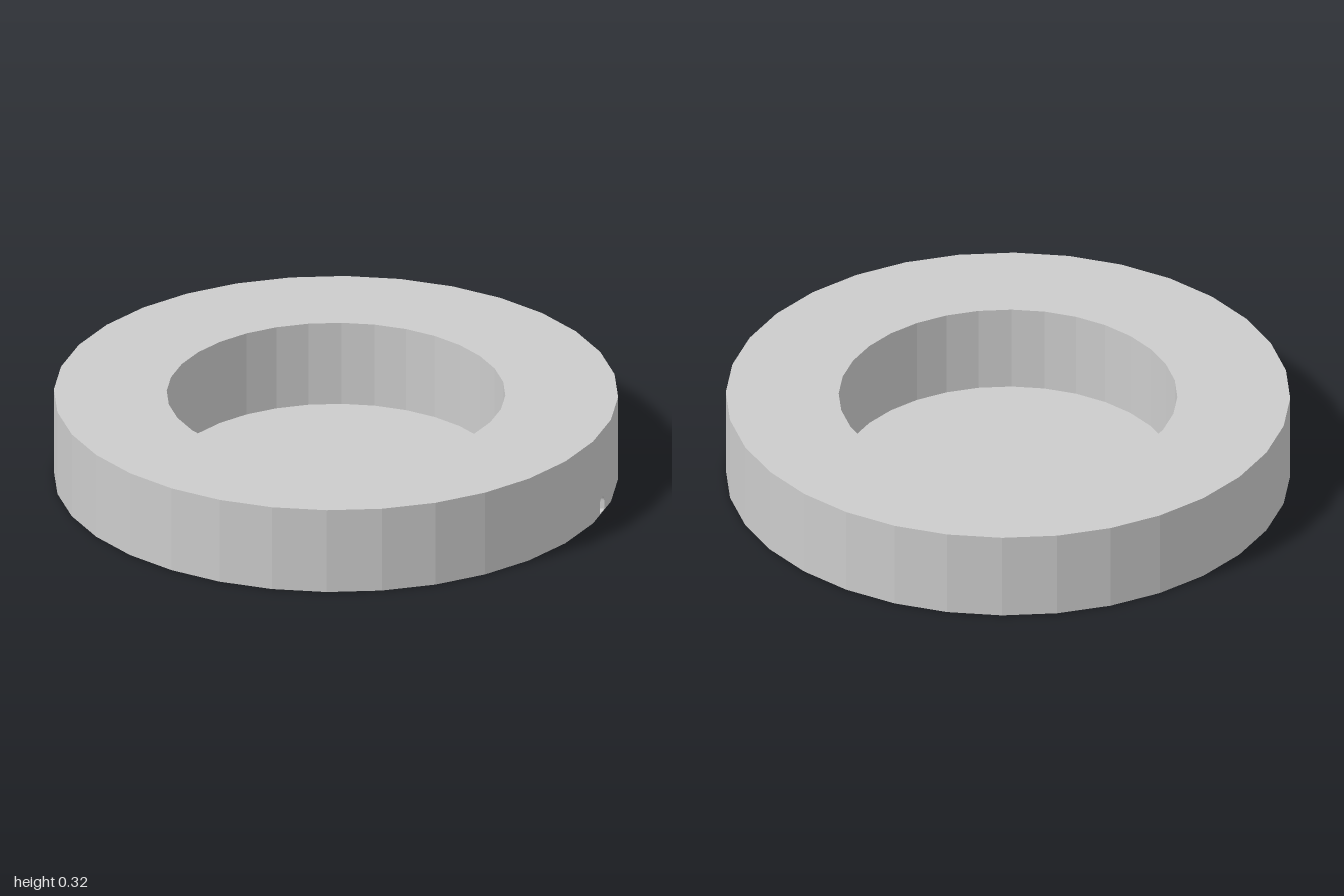
import * as THREE from 'three';

const SIDES = 32;
const STEP = (Math.PI * 2) / SIDES;
const OUTER = 1 / Math.cos(STEP / 2); // corner radii; flats lie at 1 and 0.6
const INNER = 0.6 / Math.cos(STEP / 2);
const HEIGHT = 0.32;
const FLOOR = 0.003;
const ARCH_RADIUS = 0.025;
const ARCH_TOP = 0.06;

const material = new THREE.MeshStandardMaterial({ color: 0xcccccc, flatShading: true });

function part(name, geometry) {
  const mesh = new THREE.Mesh(geometry, material);
  mesh.name = name;
  return mesh;
}

// Ring wall, leaving out the one segment at +x that holds the drain
function ringWall() {
  const profile = [[OUTER, FLOOR], [OUTER, HEIGHT], [INNER, HEIGHT], [INNER, FLOOR]]
    .map(([r, y]) => new THREE.Vector2(r, y));
  return new THREE.LatheGeometry(profile, SIDES - 1, Math.PI / 2 + STEP / 2, STEP * (SIDES - 1));
}

// Wall segment with a small arched tunnel through its foot
function drainSegment() {
  const innerHalf = INNER * Math.sin(STEP / 2);
  const outerHalf = OUTER * Math.sin(STEP / 2);
  const shape = new THREE.Shape();
  shape.moveTo(innerHalf, FLOOR);
  shape.lineTo(innerHalf, HEIGHT);
  shape.lineTo(-innerHalf, HEIGHT);
  shape.lineTo(-innerHalf, FLOOR);
  shape.lineTo(-ARCH_RADIUS, FLOOR);
  shape.lineTo(-ARCH_RADIUS, ARCH_TOP - ARCH_RADIUS);
  shape.absarc(0, ARCH_TOP - ARCH_RADIUS, ARCH_RADIUS, Math.PI, 0, true);
  shape.lineTo(ARCH_RADIUS, FLOOR);
  shape.closePath();
  const geometry = new THREE.ExtrudeGeometry(shape, { depth: 0.4, bevelEnabled: false, curveSegments: 12 });
  geometry.rotateY(Math.PI / 2).translate(0.6, 0, 0);
  // Widen the outer end so the segment closes the ring
  const p = geometry.attributes.position;
  for (let i = 0; i < p.count; i++) {
    const z = p.getZ(i);
    if (p.getX(i) > 0.8 && Math.abs(z) > 0.04) p.setZ(i, Math.sign(z) * outerHalf);
  }
  geometry.computeVertexNormals();
  return geometry;
}

export function createModel() {
  const group = new THREE.Group();
  group.name = 'basin';

  // Thin floor plate under the whole ring
  const floor = new THREE.CylinderGeometry(OUTER, OUTER, FLOOR, SIDES, 1, false, STEP / 2);
  floor.translate(0, FLOOR / 2, 0);

  group.add(
    part('floorPlate', floor),
    part('ringWall', ringWall()),
    part('drainSegment', drainSegment()),
  );
  return group;
}
